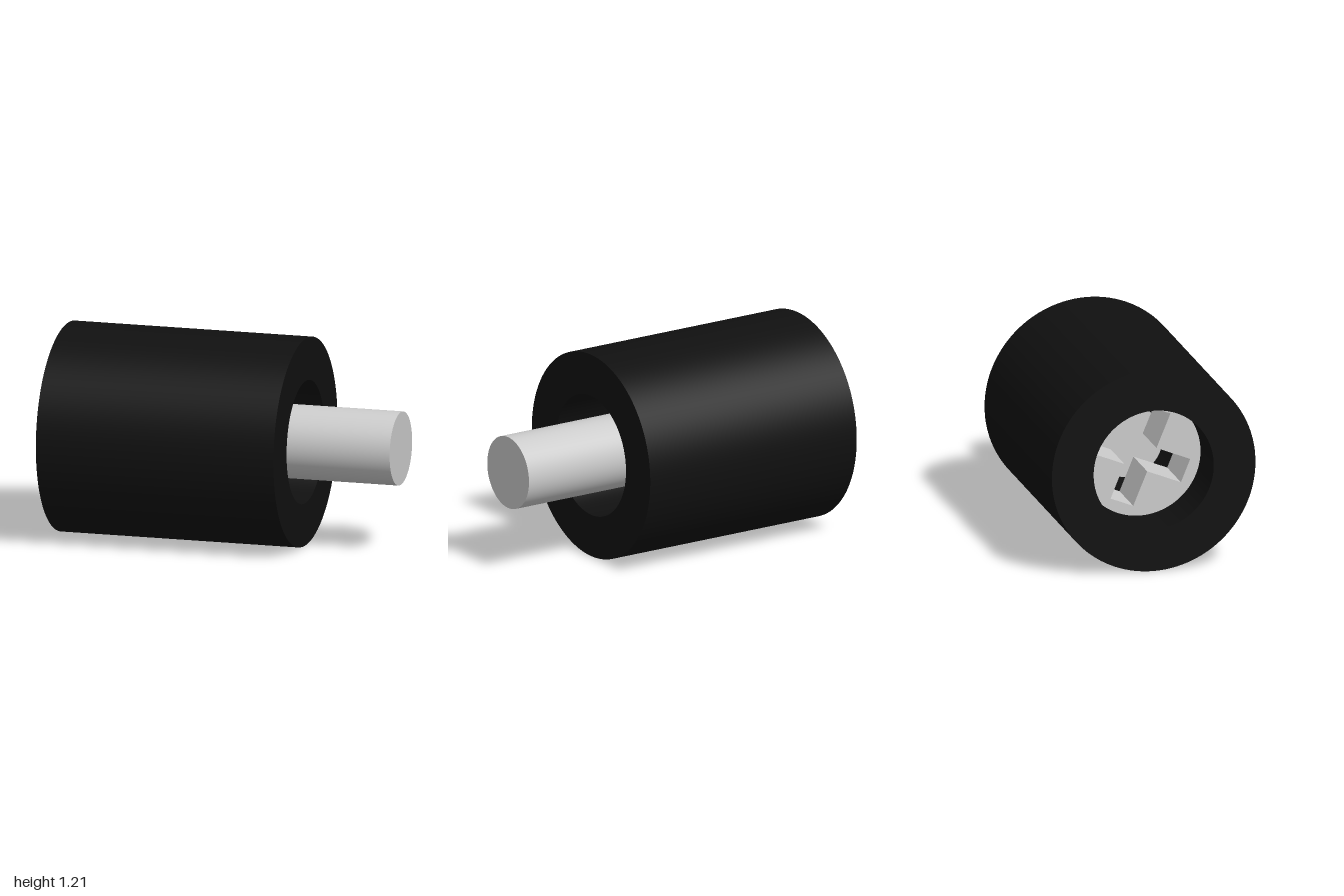
import * as THREE from 'three';
import { toCreasedNormals } from 'three/addons/utils/BufferGeometryUtils.js';

const AXIS_Y = 0.605;
const SLEEVE_R = 0.605, BORE_R = 0.357, SHAFT_R = 0.213;
const SLEEVE_BACK = -1, SLEEVE_FRONT = 0.427;
const HUB_BACK = -0.72, HUB_FRONT = -0.43;

// Disc outline with one hole, extruded along x and kept smooth around the rim
function plate(radius, hole, x0, x1) {
  const shape = new THREE.Shape();
  shape.absarc(0, 0, radius, 0, Math.PI * 2);
  shape.holes.push(hole);
  const g = new THREE.ExtrudeGeometry(shape, { depth: x1 - x0, bevelEnabled: false, curveSegments: 80 });
  g.rotateY(Math.PI / 2);
  g.translate(x0, 0, 0);
  return toCreasedNormals(g, 0.5);
}

// Cross-shaped socket outline, turned by an angle
function crossPath(reach, half, turn) {
  const pts = [];
  for (let i = 0; i < 4; i++) {
    for (const [x, y] of [[half, -half], [reach, -half], [reach, half]]) {
      pts.push(new THREE.Vector2(x, y).rotateAround(new THREE.Vector2(), turn + i * Math.PI / 2));
    }
  }
  return new THREE.Path(pts.reverse());
}

export function createModel() {
  const group = new THREE.Group();
  const black = new THREE.MeshStandardMaterial({ color: 0x101010 });
  const grey = new THREE.MeshStandardMaterial({ color: 0xcccccc });

  const add = (name, geometry, material) => {
    const mesh = new THREE.Mesh(geometry, material);
    mesh.name = name;
    mesh.position.y = AXIS_Y;
    group.add(mesh);
  };

  // Thick outer sleeve with a through bore
  const bore = new THREE.Path();
  bore.absarc(0, 0, BORE_R, 0, Math.PI * 2, true);
  add('sleeve', plate(SLEEVE_R, bore, SLEEVE_BACK, SLEEVE_FRONT), black);

  // Recessed hub with a cross socket
  const socket = crossPath(0.29, 0.073, THREE.MathUtils.degToRad(22.4));
  add('hub', plate(BORE_R, socket, HUB_BACK, HUB_FRONT), grey);

  // Solid shaft from the hub out through the open end
  const shaft = new THREE.CylinderGeometry(SHAFT_R, SHAFT_R, 1 - HUB_FRONT, 80);
  shaft.rotateZ(-Math.PI / 2);
  shaft.translate((1 + HUB_FRONT) / 2, 0, 0);
  add('shaft', shaft, grey);

  return group;
}
